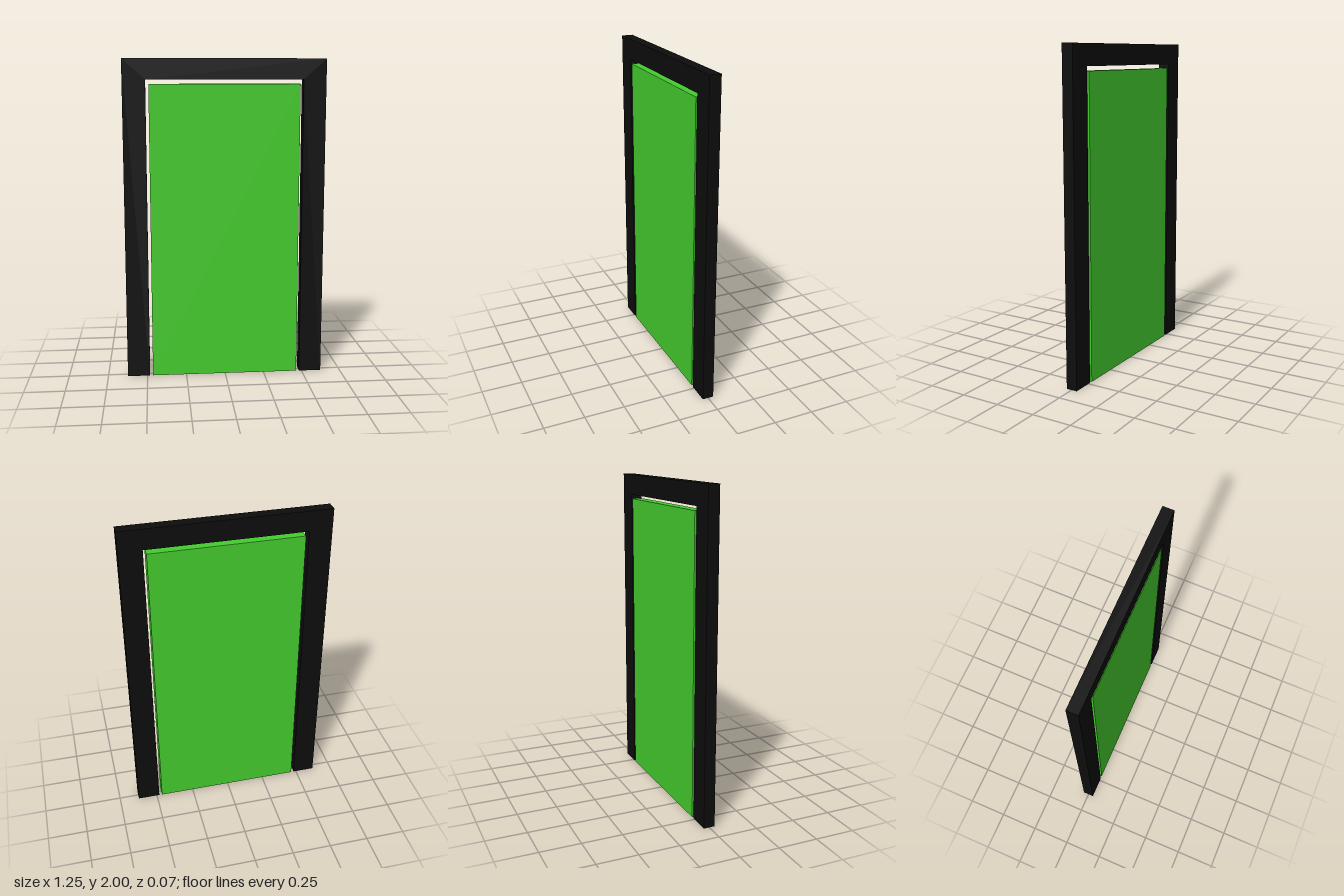
import * as THREE from 'three';

export function createModel() {
  const model = new THREE.Group();
  model.name = 'doorway';

  const black = new THREE.MeshStandardMaterial({ color: 0x0d0d0d });
  const green = new THREE.MeshStandardMaterial({ color: 0x44cc2e });

  // Frame: two jambs and a lintel in one piece, open at the floor
  const outer = 0.625, inner = 0.484, top = 2, innerTop = 1.873, depth = 0.07;
  const outline = new THREE.Shape([
    [-outer, 0], [-inner, 0], [-inner, innerTop], [inner, innerTop],
    [inner, 0], [outer, 0], [outer, top], [-outer, top],
  ].map(([x, y]) => new THREE.Vector2(x, y)));
  const frameGeometry = new THREE.ExtrudeGeometry(outline, { depth, bevelEnabled: false });
  frameGeometry.translate(0, 0, -depth / 2);
  const frame = new THREE.Mesh(frameGeometry, black);
  frame.name = 'doorFrame';
  model.add(frame);

  // Door panel, with a narrow gap to the frame and a hair proud at the back
  const width = 0.93, height = 1.847;
  const panel = new THREE.Mesh(new THREE.BoxGeometry(width, height, depth), green);
  panel.name = 'doorPanel';
  panel.position.set(0, height / 2, -0.001);
  model.add(panel);

  return model;
}
